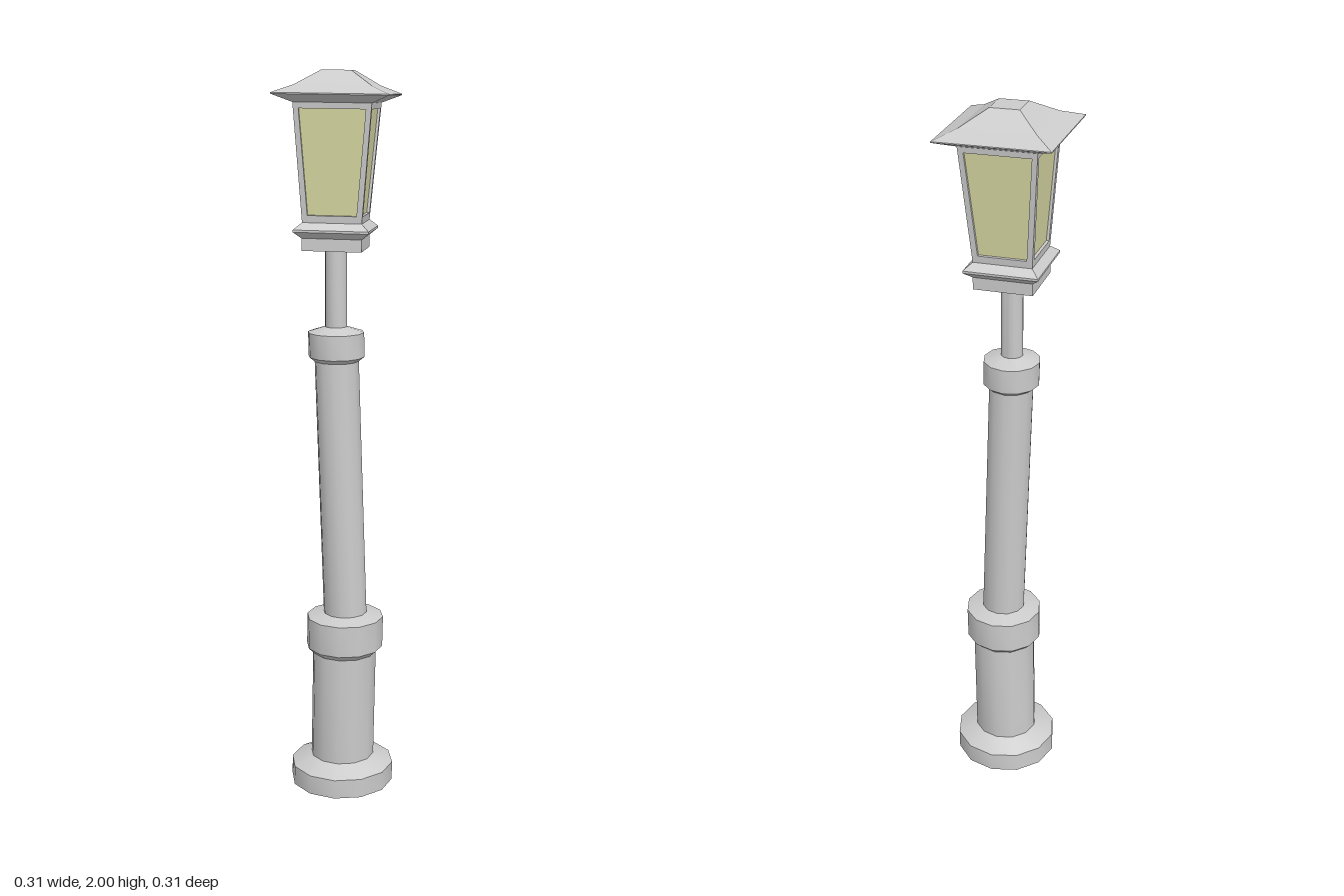
import * as THREE from 'three';
import { toCreasedNormals } from 'three/addons/utils/BufferGeometryUtils.js';

const grey = new THREE.MeshStandardMaterial({ color: 0xcccccc, side: THREE.DoubleSide });
const greyFlat = new THREE.MeshStandardMaterial({ color: 0xcccccc, flatShading: true });
const glassMat = new THREE.MeshStandardMaterial({ color: 0xd9d9a4, flatShading: true });

// Centre line of the slightly crooked post: [y, x, z]
const axis = [
  [0, 0.007, 0.004], [0.41, 0.015, 0.008], [0.51, 0.017, 0.008],
  [1.23, -0.008, 0.002], [1.32, -0.010, 0.002], [1.6, -0.010, 0.002],
];

function axisAt(y) {
  let i = 0;
  while (i < axis.length - 2 && y > axis[i + 1][0]) i++;
  const [a, b] = [axis[i], axis[i + 1]];
  const t = (y - a[0]) / (b[0] - a[0]);
  return [a[1] + (b[1] - a[1]) * t, a[2] + (b[2] - a[2]) * t];
}

const lathe = (profile, sides, phi = 0) =>
  new THREE.LatheGeometry(profile.map(([r, y]) => new THREE.Vector2(r, y)), sides, phi);

// Twelve-sided turned part that follows the crooked centre line
function postPart(name, profile) {
  const geo = lathe(profile, 12);
  const p = geo.attributes.position;
  for (let i = 0; i < p.count; i++) {
    const [dx, dz] = axisAt(p.getY(i));
    p.setX(i, p.getX(i) + dx);
    p.setZ(i, p.getZ(i) + dz);
  }
  const mesh = new THREE.Mesh(toCreasedNormals(geo, 0.62), grey);
  mesh.name = name;
  return mesh;
}

// Square part from [half width, height] steps
function squarePart(name, profile, material = greyFlat) {
  const geo = lathe(profile.map(([h, y]) => [h * Math.SQRT2, y]), 4, Math.PI / 4);
  const mesh = new THREE.Mesh(geo, material);
  mesh.name = name;
  return mesh;
}

function trapezoid(path, y0, y1, h0, h1) {
  path.moveTo(-h0, y0);
  path.lineTo(h0, y0);
  path.lineTo(h1, y1);
  path.lineTo(-h1, y1);
  path.closePath();
  return path;
}

function createLantern() {
  const lantern = new THREE.Group();
  lantern.name = 'lantern';

  lantern.add(squarePart('lanternBase', [
    [0, 0], [0.08, 0], [0.08, 0.033], [0.1, 0.05], [0.1, 0.056], [0.078, 0.075], [0, 0.075],
  ]));
  lantern.add(squarePart('glass', [[0.071, 0.07], [0.096, 0.385]], glassMat));

  // Four sloping window frames
  const bottom = 0.079, top = 0.103, height = 0.312;
  const shape = trapezoid(new THREE.Shape(), 0, height, bottom, top);
  shape.holes.push(trapezoid(new THREE.Path(), 0.02, height - 0.017, 0.065, 0.0875));
  const frameGeo = new THREE.ExtrudeGeometry(shape, { depth: 0.012, bevelEnabled: false });
  frameGeo.translate(0, 0, -0.012);
  frameGeo.rotateX(Math.atan((top - bottom) / height));
  frameGeo.translate(0, 0.073, bottom);
  for (let i = 0; i < 4; i++) {
    const frame = new THREE.Mesh(frameGeo, greyFlat);
    frame.name = 'windowFrame';
    frame.rotation.y = i * Math.PI / 2;
    lantern.add(frame);
  }

  // Hipped roof with a shallower eave
  lantern.add(squarePart('roof', [
    [0, 0.383], [0.104, 0.383], [0.152, 0.403], [0.152, 0.406],
    [0.1, 0.427], [0.039, 0.465], [0, 0.465],
  ]));

  // The lantern tips slightly against the lean of the post
  lantern.position.set(-0.010, 1.535, 0.002);
  lantern.rotation.set(-0.012, 0, -0.013);
  return lantern;
}

export function createModel() {
  const model = new THREE.Group();
  model.name = 'streetLamp';

  model.add(postPart('base', [[0.146, 0], [0.146, 0.055], [0.09, 0.08], [0.09, 0.4]]));
  model.add(postPart('lowerCollar', [
    [0.09, 0.395], [0.108, 0.412], [0.108, 0.5], [0.06, 0.512],
  ]));
  model.add(postPart('post', [[0.061, 0.505], [0.061, 1.235]]));
  model.add(postPart('upperCollar', [
    [0.06, 1.23], [0.077, 1.243], [0.077, 1.31], [0.03, 1.325],
  ]));
  model.add(postPart('stem', [[0.03, 1.32], [0.03, 1.54]]));
  model.add(createLantern());
  return model;
}
